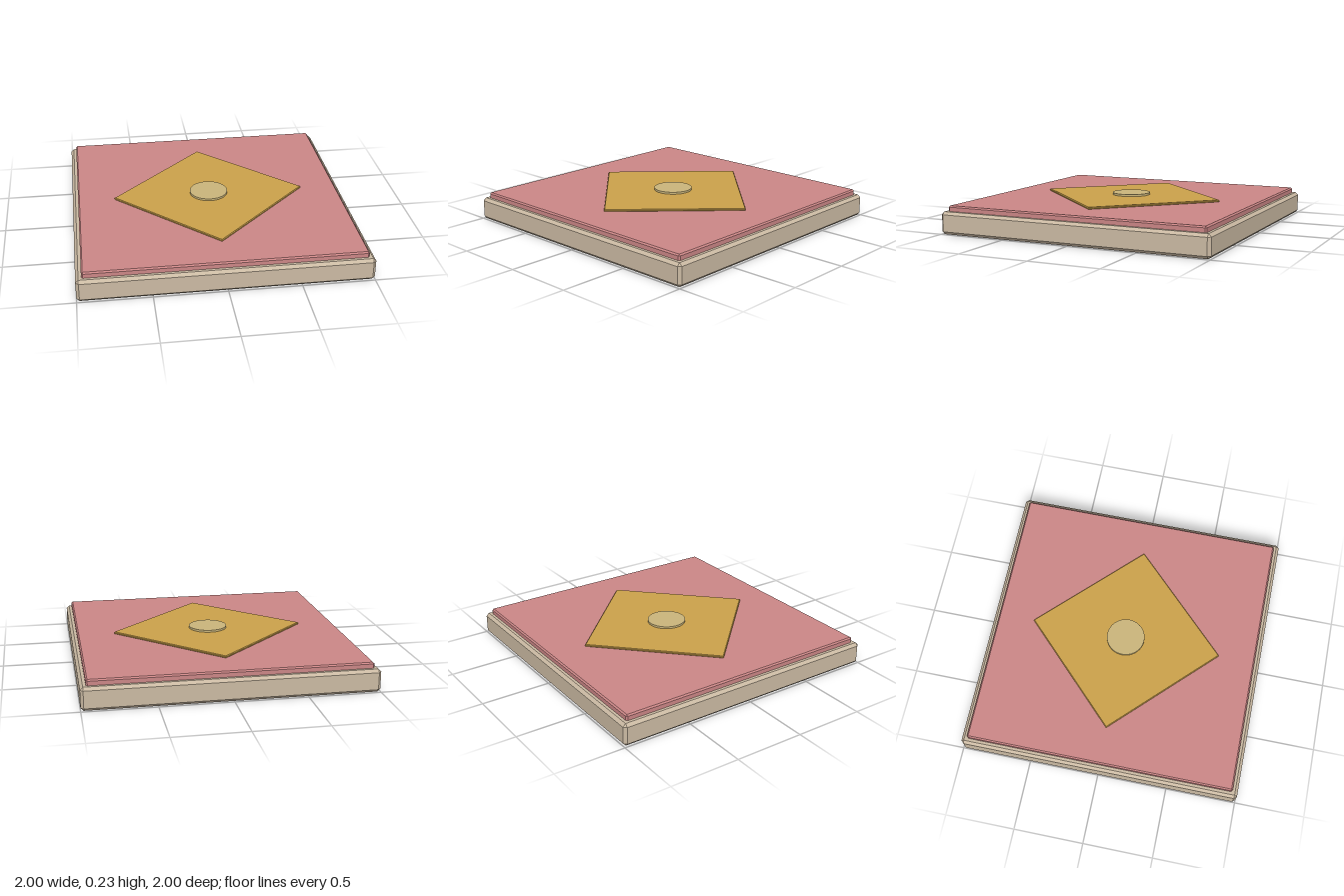
import * as THREE from 'three';
import { ConvexGeometry } from 'three/addons/geometries/ConvexGeometry.js';

const flat = (name, color) => {
  const m = new THREE.MeshStandardMaterial({ color });
  m.name = name;
  return m;
};

// Box with every edge cut by a small chamfer, standing on y = bottom
function chamferedSlab(name, size, bottom, top, bevel, material) {
  const h = size / 2, v = (top - bottom) / 2, points = [];
  for (const x of [-1, 1]) for (const y of [-1, 1]) for (const z of [-1, 1]) {
    points.push(
      new THREE.Vector3(x * h, y * (v - bevel), z * (h - bevel)),
      new THREE.Vector3(x * (h - bevel), y * v, z * (h - bevel)),
      new THREE.Vector3(x * (h - bevel), y * (v - bevel), z * h));
  }
  const mesh = new THREE.Mesh(new ConvexGeometry(points), material);
  mesh.name = name;
  mesh.position.y = (bottom + top) / 2;
  return mesh;
}

export function createModel() {
  const stone = flat('beige stone', 0xcbbaa3);
  const rose = flat('rose', 0xcb8686);
  const gold = flat('gold', 0xcba14a);
  const paleGold = flat('pale gold', 0xc9b47a);
  const model = new THREE.Group();
  model.name = 'floorTile';

  // Base slab and the inset panel on top of it
  model.add(chamferedSlab('base', 2, 0, 0.16, 0.02, stone));
  model.add(chamferedSlab('panel', 1.92, 0.14, 0.2, 0.01, rose));

  // Square inlay turned to a diamond
  const diamond = chamferedSlab('diamondInlay', 0.985, 0.198, 0.215, 0.005, gold);
  diamond.rotation.y = Math.PI / 4;
  model.add(diamond);

  // Round centre stud
  const stud = new THREE.Mesh(new THREE.CylinderGeometry(0.138, 0.138, 0.022, 48), paleGold);
  stud.name = 'centreStud';
  stud.position.y = 0.219;
  model.add(stud);

  return model;
}
